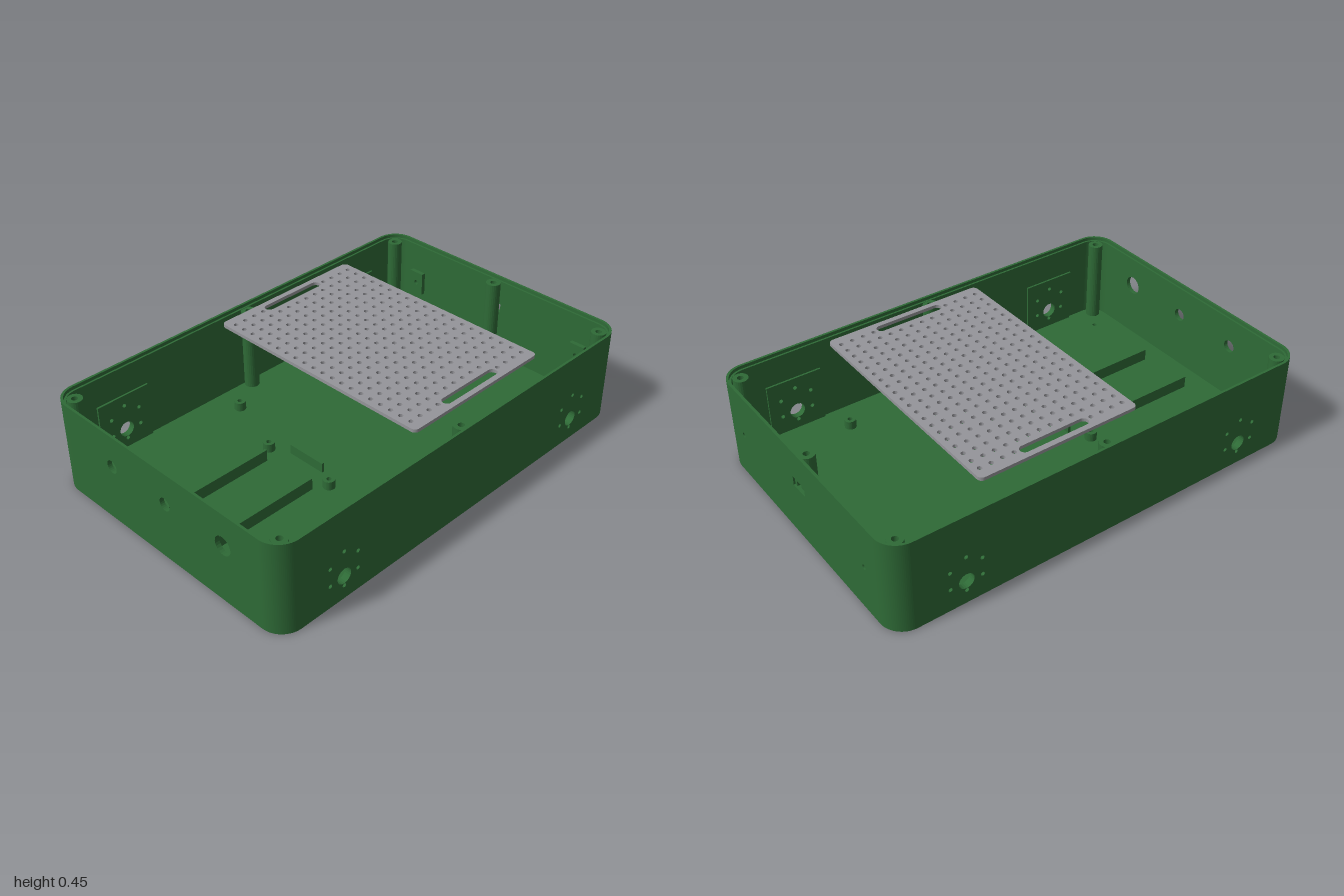
import * as THREE from 'three';

const W = 1, D = 0.657, R = 0.1;          // half width, half depth, corner radius
const FLOOR = 0.02, WALL = 0.02, SHELF = 0.405, TOP = 0.42;

export function createModel() {
  const green = new THREE.MeshStandardMaterial({ color: 0x2e6a36 });
  green.name = 'green plastic';
  const grey = new THREE.MeshStandardMaterial({ color: 0x95959a });
  grey.name = 'grey plastic';
  const model = new THREE.Group();
  model.name = 'enclosure';

  const add = (name, geometry, material = green, parent = model) => {
    const mesh = new THREE.Mesh(geometry, material);
    mesh.name = name;
    parent.add(mesh);
    return mesh;
  };
  const extrude = (shape, depth, curveSegments = 12) =>
    new THREE.ExtrudeGeometry(shape, { depth, bevelEnabled: false, curveSegments });
  // shape drawn in plan, extruded upwards from y
  const slab = (shape, y, height, segments) =>
    extrude(shape, height, segments).rotateX(-Math.PI / 2).translate(0, y, 0);
  const rounded = (w, d, r, T = THREE.Shape) => {
    const s = new T();
    s.absarc(w - r, d - r, r, 0, Math.PI / 2);
    s.absarc(-w + r, d - r, r, Math.PI / 2, Math.PI);
    s.absarc(-w + r, -d + r, r, Math.PI, Math.PI * 1.5);
    s.absarc(w - r, -d + r, r, Math.PI * 1.5, Math.PI * 2);
    s.closePath();
    return s;
  };
  const rect = (x0, y0, x1, y1, T = THREE.Shape) => new T([
    [x0, y0], [x1, y0], [x1, y1], [x0, y1], [x0, y0],
  ].map(([x, y]) => new THREE.Vector2(x, y)));
  const drill = (shape, x, y, r) =>
    shape.holes.push(new THREE.Path().absarc(x, y, r, 0, Math.PI * 2, true));

  // floor with four mounting holes
  const floor = rounded(W, D, R);
  for (const x of [-0.87, 0.87]) for (const z of [-0.5, 0.5]) drill(floor, x, z, 0.01);
  add('floor', slab(floor, 0, FLOOR));

  // rounded corners
  for (const [i, [x, z]] of [[1, -1], [-1, -1], [-1, 1], [1, 1]].entries()) {
    const s = new THREE.Shape();
    const a = i * Math.PI / 2;
    s.absarc(0, 0, R, a, a + Math.PI / 2);
    s.absarc(0, 0, R - WALL, a + Math.PI / 2, a, true);
    s.closePath();
    add('corner', slab(s, FLOOR, SHELF - FLOOR)).position.set(x * (W - R), 0, z * (D - R));
  }

  // thin lip for the lid
  const lip = rounded(W, D, R);
  lip.holes.push(rounded(W - 0.011, D - 0.011, R - 0.011, THREE.Path));
  add('rimLip', slab(lip, SHELF, TOP - SHELF));

  // long walls with motor mounts
  const motorHoles = (shape, x) => {
    drill(shape, x, 0.108, 0.035);
    for (let i = 0; i < 6; i++) {
      const a = Math.PI / 6 + i * Math.PI / 3;
      drill(shape, x + 0.082 * Math.cos(a), 0.145 + 0.082 * Math.sin(a), 0.009);
    }
  };
  const longWall = (name, angle) => {
    const g = new THREE.Group();
    g.name = name;
    g.rotation.y = angle;
    const s = rect(-W + R, FLOOR, W - R, SHELF);
    for (const x of [-0.685, 0.685]) {
      motorHoles(s, x);
      const pad = rect(x - 0.128, FLOOR, x + 0.128, 0.275);
      motorHoles(pad, x);
      add('motorPad', extrude(pad, 0.009), green, g).position.z = D - WALL - 0.009;
    }
    add('wallPanel', extrude(s, WALL), green, g).position.z = D - WALL;
    model.add(g);
  };
  longWall('frontWall', 0);
  longWall('backWall', Math.PI);

  // left wall: port slot and two screw holes with pads
  const left = new THREE.Group();
  left.name = 'leftWall';
  left.rotation.y = Math.PI / 2;
  const leftShape = rect(-D + R, FLOOR, D - R, SHELF);
  leftShape.holes.push(rect(-0.045, 0.245, 0.045, 0.287, THREE.Path));
  for (const x of [-0.473, 0.473]) {
    drill(leftShape, x, 0.215, 0.011);
    const pad = rect(x - 0.038, 0.16, x + 0.038, 0.27);
    drill(pad, x, 0.215, 0.011);
    add('screwPad', extrude(pad, 0.02), green, left).position.z = W - WALL - 0.02;
  }
  add('wallPanel', extrude(leftShape, WALL), green, left).position.z = W - WALL;
  for (const x of [-0.037, 0.037])
    add('portShoulder', new THREE.BoxGeometry(0.016, 0.042, 0.012), green, left)
      .position.set(x, 0.266, W - WALL + 0.006);
  model.add(left);

  // right wall: three round openings
  const rightShape = rect(-D + R, FLOOR, D - R, SHELF);
  for (const [z, r] of [[0.365, 0.042], [0.04, 0.029], [-0.28, 0.029]])
    drill(rightShape, z, 0.27, r);
  const right = add('rightWall', extrude(rightShape, WALL));
  right.rotation.y = -Math.PI / 2;
  right.position.x = -W + WALL;

  // hollow screw posts and standoffs
  const post = (name, x, z, r, hole, top) => {
    const s = new THREE.Shape().absarc(0, 0, r, 0, Math.PI * 2);
    drill(s, 0, 0, hole);
    add(name, slab(s, FLOOR, top - FLOOR)).position.set(x, 0, z);
  };
  for (const z of [-1, 1]) {
    for (const x of [-1, 1]) post('cornerPost', x * 0.932, z * 0.592, 0.033, 0.014, SHELF - 0.001);
    post('middlePost', 0, z * 0.61, 0.034, 0.014, SHELF - 0.001);
    post('boardStandoff', -0.285, -0.005 + z * 0.18, 0.026, 0.011, 0.06);
    for (const x of [-0.17, 0.505]) post('plateStandoff', x, z * 0.499, 0.026, 0.011, 0.06);
  }
  post('sidePost', 0.952, 0, 0.034, 0.014, SHELF - 0.001);

  // battery rails and end stop
  for (const z of [-0.138, 0.133])
    add('batteryRail', new THREE.BoxGeometry(0.525, 0.055, 0.012)).position.set(-0.607, 0.0475, z);
  add('batteryStop', new THREE.BoxGeometry(0.012, 0.045, 0.19)).position.set(-0.235, 0.0425, -0.005);

  // perforated plate with two long slots
  const plate = rounded(0.3725, 0.552, 0.022);
  for (const z of [-0.506, 0.506]) {
    const slot = new THREE.Path();
    slot.absarc(0.14, z, 0.021, -Math.PI / 2, Math.PI / 2);
    slot.absarc(-0.14, z, 0.021, Math.PI / 2, Math.PI * 1.5);
    slot.closePath();
    plate.holes.push(slot);
  }
  for (let row = 0; row < 20; row++)
    for (let col = 0; col < 14; col++) {
      if ((row === 0 || row === 19) && col > 3 && col < 10) continue;
      drill(plate, (col - 6.5) * 0.052, (row - 9.5) * 0.0525, 0.0105);
    }
  add('perforatedPlate', slab(plate, 0.435, 0.015, 6), grey).position.x = 0.1725;

  return model;
}
